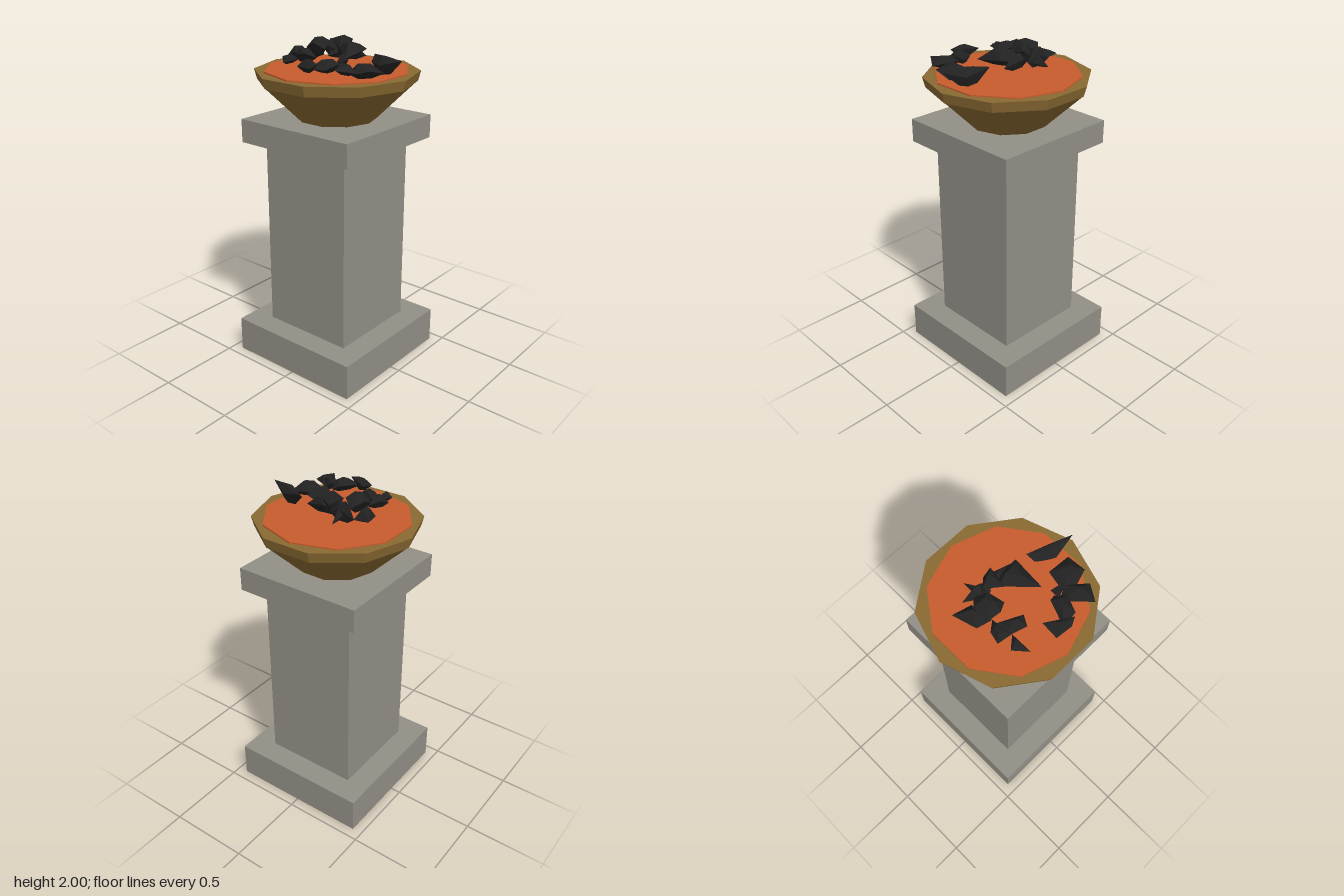
import * as THREE from 'three';
import { ConvexGeometry } from 'three/addons/geometries/ConvexGeometry.js';

const mat = (name, color, flatShading = false) => {
  const m = new THREE.MeshStandardMaterial({ color, flatShading });
  m.name = name;
  return m;
};

export function createModel() {
  const model = new THREE.Group();
  model.name = 'brazier';
  const stone = mat('stone', 0x928f86);
  const bronze = mat('bronze', 0x8a6a32);
  const ember = mat('ember', 0xc85c2e);
  const charcoal = mat('charcoal', 0x222222);

  const add = (parent, name, geometry, material, y = 0) => {
    const mesh = new THREE.Mesh(geometry, material);
    mesh.name = name;
    mesh.position.y = y;
    parent.add(mesh);
    return mesh;
  };

  // Square stone pedestal
  const slab = (name, width, y0, y1) =>
    add(model, name, new THREE.BoxGeometry(width, y1 - y0, width), stone, (y0 + y1) / 2);
  slab('pedestalBase', 0.876, 0, 0.22);
  slab('pedestalShaft', 0.59, 0.22, 1.4);
  slab('pedestalCap', 0.79, 1.4, 1.54);

  // Ten-sided bowl: smooth flare below, faceted rim above
  add(model, 'bowl', new THREE.CylinderGeometry(0.462, 0.236, 0.22, 10), bronze, 1.65);
  const rim = new THREE.CylinderGeometry(0.482, 0.466, 0.06, 10).toNonIndexed();
  rim.computeVertexNormals();
  add(model, 'bowlRim', rim, bronze, 1.79);

  // Ember bed, turned half a facet against the rim
  const bed = new THREE.CylinderGeometry(0.425, 0.425, 0.02, 10, 1, false, Math.PI / 2).toNonIndexed();
  bed.computeVertexNormals();
  add(model, 'emberBed', bed, ember, 1.818);

  // Charcoal shards: a jagged outline seen from above, with a smaller facet over and under it
  const coals = new THREE.Group();
  coals.name = 'coals';
  model.add(coals);
  const coal = (low, high, outline, rimLevel = 0.5) => {
    const n = outline.length;
    const cx = outline.reduce((s, p) => s + p[0], 0) / n;
    const cz = outline.reduce((s, p) => s + p[1], 0) / n;
    const points = [];
    outline.forEach(([x, z], i) => {
      const level = rimLevel + (i % 2 ? 0.18 : -0.18);
      const y = THREE.MathUtils.lerp(low, high, THREE.MathUtils.clamp(level, 0, 1));
      points.push(new THREE.Vector3(x, y, z));
      const k = i % 2 ? 0.6 : 0.35;
      points.push(new THREE.Vector3(cx + (x - cx) * k, high - (i % 2) * 0.012, cz + (z - cz) * k));
      points.push(new THREE.Vector3(cx + (x - cx) * 0.4, low + (i % 2) * 0.01, cz + (z - cz) * 0.4));
    });
    add(coals, 'coal', new ConvexGeometry(points), charcoal);
  };

  // Back left shards
  coal(1.87, 1.92, [[-0.30, -0.14], [-0.23, -0.21], [-0.17, -0.14]]);
  coal(1.88, 1.95, [[-0.16, -0.23], [-0.10, -0.22], [-0.05, -0.16], [-0.18, -0.15]]);
  coal(1.87, 1.95, [[-0.16, -0.19], [-0.08, -0.18], [-0.14, -0.03], [-0.205, -0.07]], 0.6);
  // Back right pile
  coal(1.86, 1.93, [[-0.02, -0.24], [0.11, -0.285], [0.09, -0.17], [-0.05, -0.16]], 0.4);
  coal(1.89, 1.99, [[-0.05, -0.19], [0.04, -0.20], [0.09, -0.15], [0.05, -0.09], [-0.035, -0.06], [-0.07, -0.12]], 0.6);
  coal(1.86, 1.97, [[0.125, -0.20], [0.13, -0.10], [0.12, -0.04], [0.05, -0.11]]);
  coal(1.87, 1.93, [[0.205, -0.115], [0.13, -0.125], [0.05, -0.11], [0.07, -0.05]], 0.3);
  // Centre pile
  coal(1.89, 1.98, [[-0.10, 0.14], [0.05, -0.03], [0.10, 0.0], [0.09, 0.145]], 0.4);
  coal(1.87, 1.96, [[0.08, -0.08], [0.13, 0.0], [0.105, 0.13], [0.06, 0.0]]);
  coal(1.90, 2.0, [[0.02, 0.0], [0.08, -0.10], [0.135, -0.04], [0.135, 0.01]], 0.6);
  // Left front shards
  coal(1.86, 1.93, [[-0.34, 0.0], [-0.24, 0.0], [-0.29, 0.07], [-0.33, 0.14], [-0.35, 0.10]], 0.6);
  coal(1.86, 1.93, [[-0.32, 0.07], [-0.18, 0.12], [-0.17, 0.16], [-0.22, 0.20], [-0.31, 0.17]]);
  coal(1.86, 1.92, [[-0.21, 0.16], [-0.17, 0.23], [-0.25, 0.34], [-0.345, 0.275]], 0.5);
  coal(1.88, 1.95, [[-0.20, 0.16], [-0.15, 0.15], [-0.15, 0.19], [-0.18, 0.23]]);
  // Front shards
  coal(1.83, 1.91, [[-0.17, 0.22], [-0.06, 0.235], [-0.06, 0.38], [-0.18, 0.375], [-0.21, 0.27]]);
  coal(1.83, 1.93, [[0.03, 0.225], [0.08, 0.21], [0.05, 0.35], [-0.01, 0.46], [-0.03, 0.32]], 0.75);

  return model;
}
